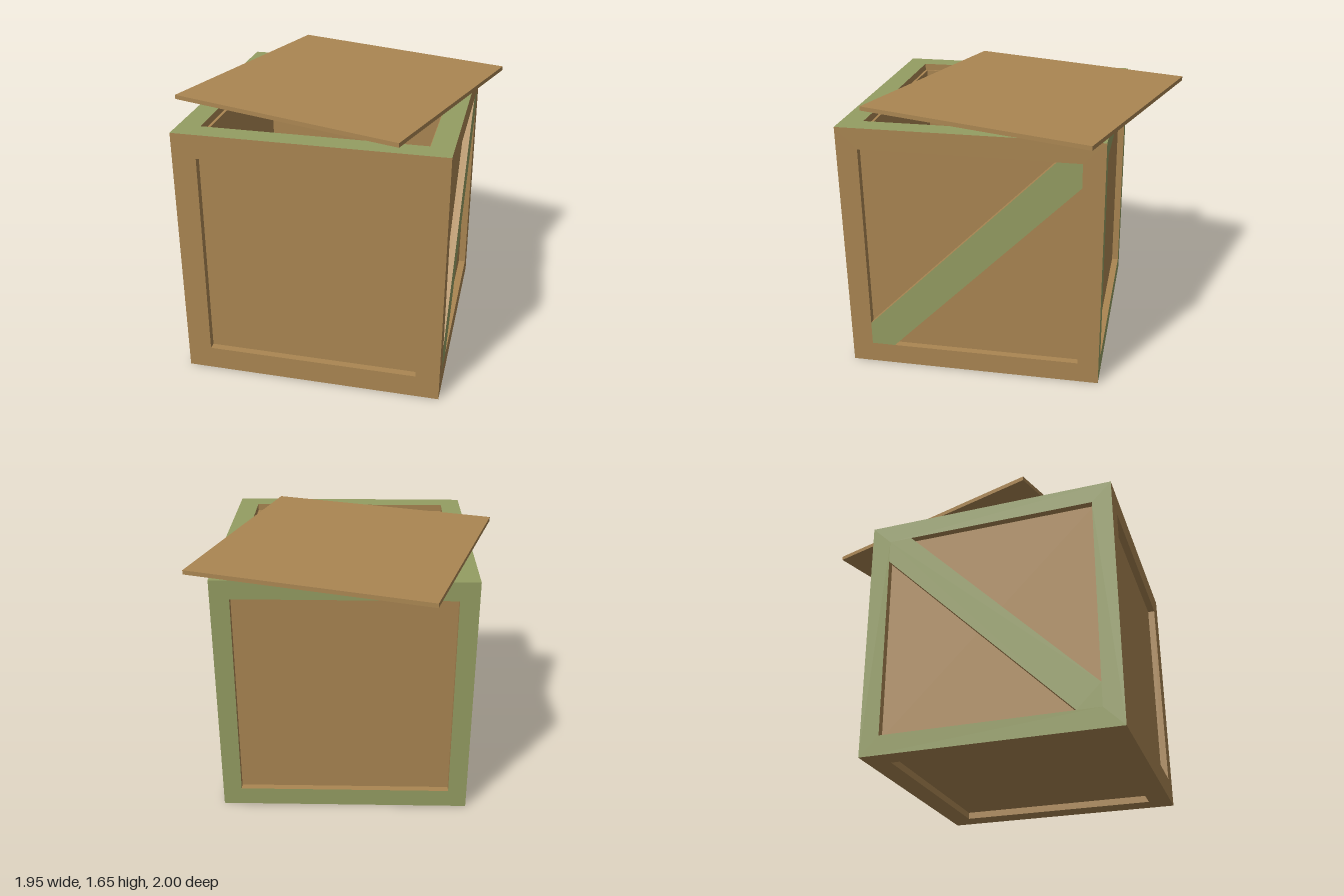
import * as THREE from 'three';
import { mergeGeometries } from 'three/addons/utils/BufferGeometryUtils.js';

const HALF = 0.805;   // half the crate's edge
const RECESS = 0.045; // depth of the sunken panels

function material(name, color) {
  const m = new THREE.MeshStandardMaterial({ color });
  m.name = name;
  return m;
}

function mesh(name, geometry, mat) {
  const m = new THREE.Mesh(geometry, mat);
  m.name = name;
  return m;
}

function square(Type, h) {
  return new Type([[-h, -h], [h, -h], [h, h], [-h, h]].map(p => new THREE.Vector2(...p)));
}

// Flat square ring facing +z
function ring(outer, inner, z) {
  const shape = square(THREE.Shape, outer);
  shape.holes.push(square(THREE.Path, inner));
  return new THREE.ShapeGeometry(shape).translate(0, 0, z);
}

// Four inward-facing walls running from z down to z - depth
function walls(half, z, depth) {
  const sides = [0, 1, 2, 3].map(k =>
    new THREE.PlaneGeometry(depth, 2 * half)
      .rotateY(-Math.PI / 2)
      .translate(half, 0, z - depth / 2)
      .rotateZ(k * Math.PI / 2));
  return mergeGeometries(sides);
}

function floor(half, z) {
  return new THREE.PlaneGeometry(2 * half, 2 * half).translate(0, 0, z);
}

// Diagonal brace flush with the frame; mirror is 1 or -1
function braceGeometry(a, mirror) {
  const w = 0.15;
  const pts = [[-a, -a], [w - a, -a], [a, a - w], [a, a], [a - w, a], [-a, w - a]];
  const shape = new THREE.Shape(pts.map(([x, y]) => new THREE.Vector2(x * mirror, y)));
  return new THREE.ExtrudeGeometry(shape, { depth: RECESS, bevelEnabled: false })
    .translate(0, 0, HALF - RECESS);
}

export function createModel() {
  const wood = material('brown wood', 0xaa8652);
  const paint = material('green paint', 0x949d62);
  const model = new THREE.Group();
  model.name = 'openCrate';

  const crate = new THREE.Group();
  crate.name = 'crate';
  crate.position.set(0.007, HALF, 0.195);
  model.add(crate);

  // Six sides: frame, sunken panel and optional brace
  const q = Math.PI / 2;
  const sides = [
    { name: 'front', rot: [0, 0], inset: 0.147, frame: wood },
    { name: 'back', rot: [0, Math.PI], inset: 0.12, frame: paint },
    { name: 'left', rot: [0, q], inset: 0.133, frame: wood, brace: 1 },
    { name: 'right', rot: [0, -q], inset: 0.125, frame: paint, brace: -1 },
    { name: 'bottom', rot: [q, 0], inset: 0.145, frame: wood },
    { name: 'top', rot: [-q, 0], inset: 0.135, frame: paint, open: true },
  ];
  for (const s of sides) {
    const side = new THREE.Group();
    side.name = s.name + 'Side';
    side.rotation.set(s.rot[0], s.rot[1], 0);
    const a = HALF - s.inset;
    const z = HALF - RECESS;
    side.add(mesh(s.name + 'Frame', ring(HALF, a, HALF), s.frame));
    side.add(mesh(s.name + 'Rim', walls(a, HALF, RECESS), wood));
    if (s.open) {
      // Ledge and hollow interior
      const b = a - 0.016, depth = 1.42;
      side.add(mesh('ledge', ring(a, b, z), wood));
      side.add(mesh('innerWalls', walls(b, z, depth), wood));
      side.add(mesh('innerFloor', floor(b, z - depth), wood));
    } else {
      side.add(mesh(s.name + 'Panel', floor(a, z), wood));
    }
    if (s.brace) side.add(mesh(s.name + 'Brace', braceGeometry(a, s.brace), [paint, wood]));
    crate.add(side);
  }

  // Loose lid turned askew on top
  const lid = mesh('lid', new THREE.BoxGeometry(1.558, 0.027, 1.558), wood);
  lid.position.set(-0.002, 1.633, -0.027);
  lid.rotation.y = -0.297;
  model.add(lid);

  return model;
}
